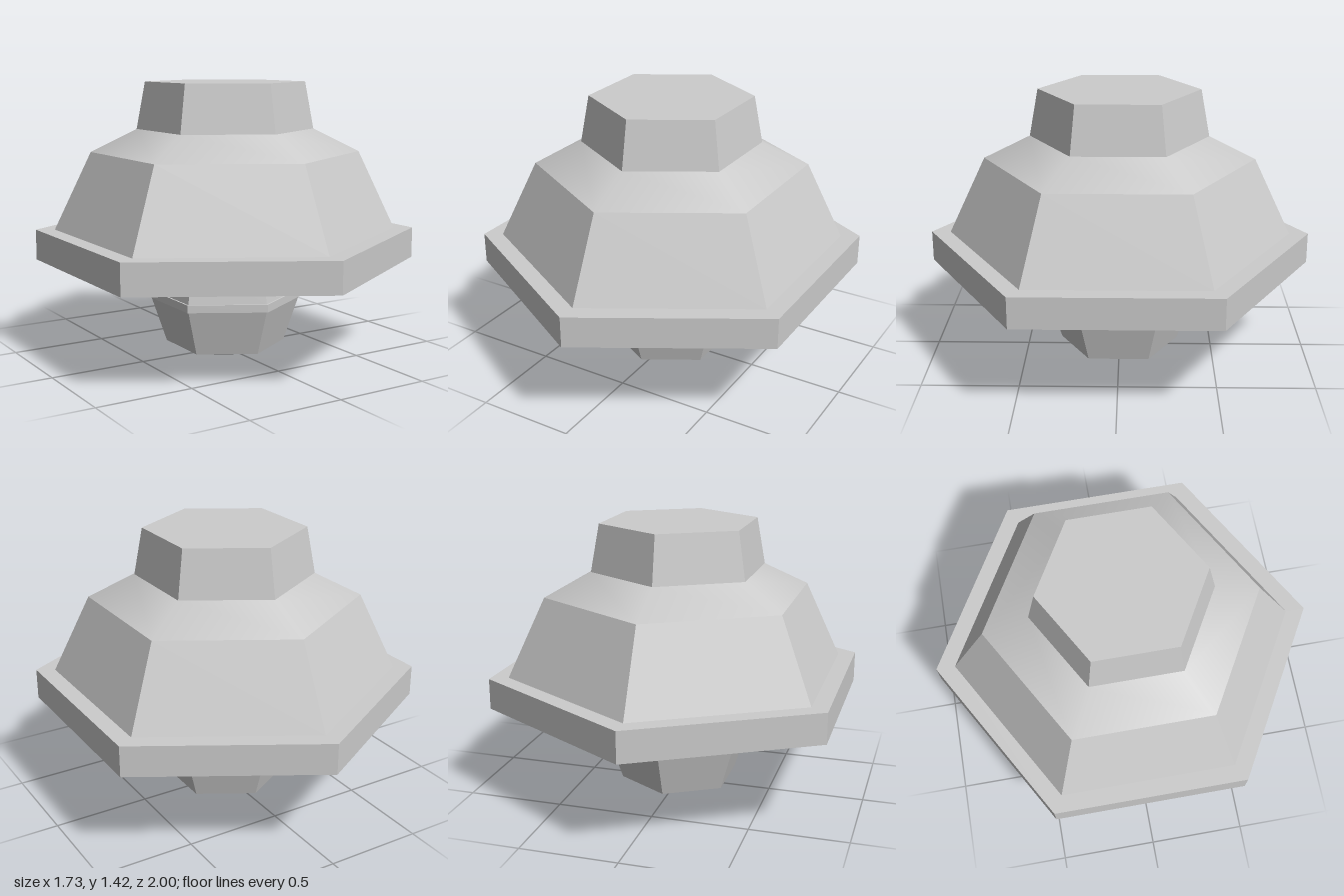
import * as THREE from 'three';

const SIDES = 6;

// Six-sided lathe; profile runs bottom to top as [radius, y] so faces point outward
function hexPart(name, profile, flat = true) {
  const points = profile.map(([r, y]) => new THREE.Vector2(r, y));
  const material = new THREE.MeshStandardMaterial({ color: 0xcccccc, flatShading: flat });
  const mesh = new THREE.Mesh(new THREE.LatheGeometry(points, SIDES), material);
  mesh.name = name;
  return mesh;
}

export function createModel() {
  const model = new THREE.Group();
  model.name = 'hexagonalLamp';

  // Hollow shade: ceiling, inner slope, thick rim, outer slope
  model.add(hexPart('shade', [
    [0, 0.93], [0.47, 0.93], [0.905, 0.49], [1, 0.49],
    [1, 0.65], [0.9, 0.65], [0.703, 1.06],
  ]));

  // Softly shaded shoulder between shade and cap
  model.add(hexPart('shoulder', [[0.703, 1.06], [0.462, 1.18]], false));

  // Tapered cap on top
  model.add(hexPart('cap', [[0.462, 1.18], [0.416, 1.425], [0, 1.425]]));

  // Bulb hanging on a stem under the shade
  const bulb = new THREE.Group();
  bulb.name = 'bulb';
  bulb.add(
    hexPart('bulbTip', [[0, 0], [0.16, 0], [0.315, 0.042]], false),
    hexPart('bulbLower', [[0.315, 0.042], [0.395, 0.28]]),
    hexPart('bulbCollar', [[0.395, 0.28], [0.405, 0.28], [0.405, 0.32], [0.395, 0.32]]),
    hexPart('bulbUpper', [[0.395, 0.32], [0.35, 0.55], [0.2, 0.57]]),
    hexPart('stem', [[0.2, 0.57], [0.18, 0.93]]),
  );
  model.add(bulb);

  return model;
}
